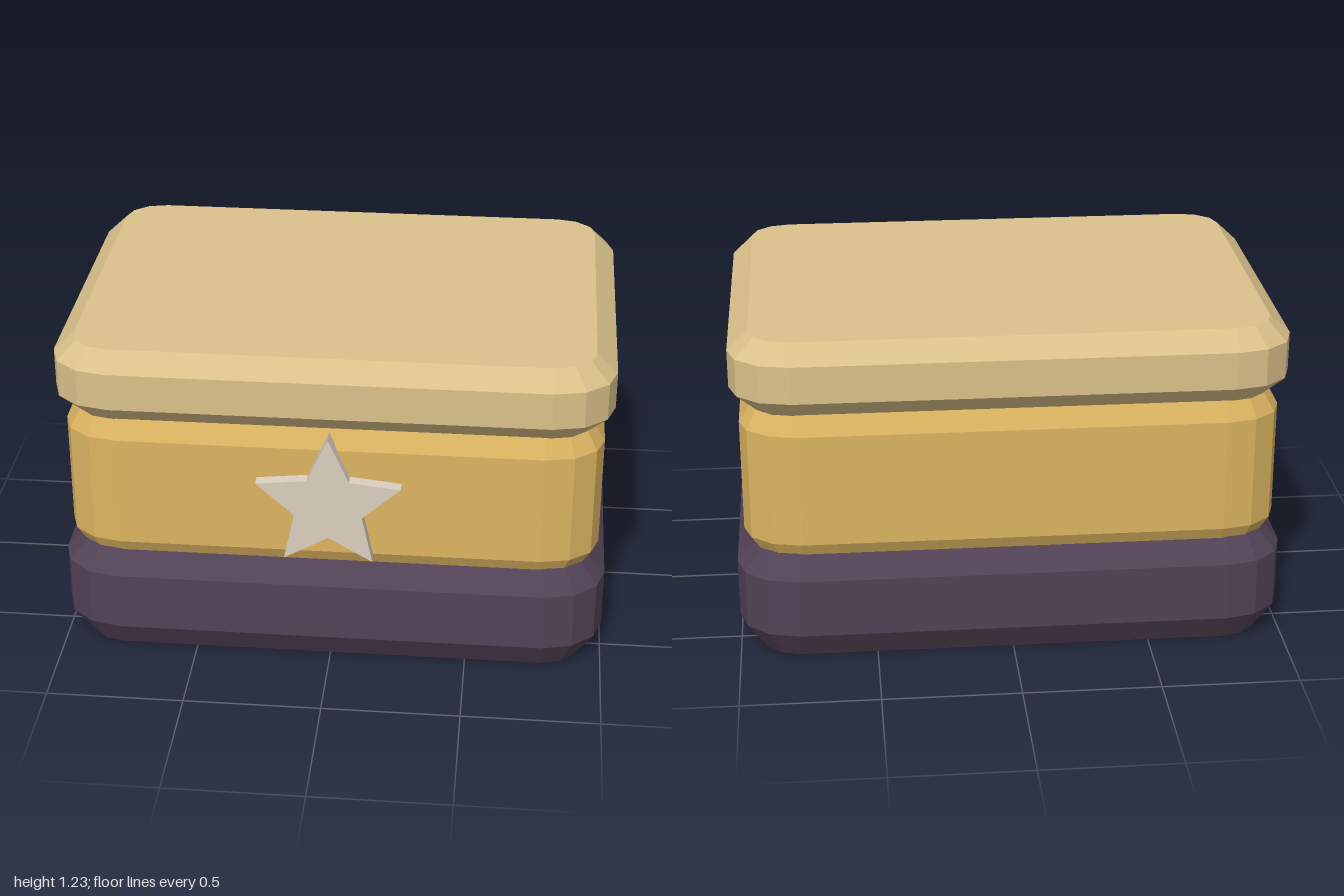
import * as THREE from 'three';

const flat = (name, color) => {
  const m = new THREE.MeshStandardMaterial({ color, flatShading: true });
  m.name = name;
  return m;
};

// Rounded rectangle: half width hx, half depth hz, straight edges ending at cx, cz
function loop(y, hx, hz, cx, cz) {
  const points = [];
  const signs = [[1, 1], [-1, 1], [-1, -1], [1, -1]];
  signs.forEach(([sx, sz], q) => {
    for (let k = 0; k <= 3; k++) {
      const a = (q + k / 3) * Math.PI / 2;
      points.push([sx * cx + (hx - cx) * Math.cos(a), y, sz * cz + (hz - cz) * Math.sin(a)]);
    }
  });
  return points;
}

// Closed solid lofted through [y, halfWidth, halfDepth] sections, bottom to top
function loft(name, sections, cx, cz, material) {
  const loops = sections.map(([y, hx, hz]) => loop(y, hx, hz, cx, cz));
  const n = loops[0].length;
  const pos = [];
  const tri = (a, b, c) => pos.push(...a, ...b, ...c);
  for (let j = 0; j < n; j++) {
    const k = (j + 1) % n;
    for (let i = 0; i < loops.length - 1; i++) {
      tri(loops[i][j], loops[i + 1][j], loops[i + 1][k]);
      tri(loops[i][j], loops[i + 1][k], loops[i][k]);
    }
    const low = loops[0], high = loops[loops.length - 1];
    tri([0, low[0][1], 0], low[j], low[k]);
    tri([0, high[0][1], 0], high[k], high[j]);
  }
  const geometry = new THREE.BufferGeometry();
  geometry.setAttribute('position', new THREE.Float32BufferAttribute(pos, 3));
  geometry.computeVertexNormals();
  const mesh = new THREE.Mesh(geometry, material);
  mesh.name = name;
  mesh.position.z = -0.005;
  return mesh;
}

export function createModel() {
  const group = new THREE.Group();
  group.name = 'box';

  // Dark bevelled base
  group.add(loft('base', [
    [0, 0.92, 0.65], [0.11, 1, 0.715], [0.33, 1, 0.715], [0.42, 0.92, 0.65],
  ], 0.78, 0.52, flat('dark plum', 0x524257)));

  // Golden middle
  group.add(loft('body', [
    [0.41, 0.935, 0.655], [0.46, 0.97, 0.68], [0.88, 0.97, 0.68], [0.955, 0.925, 0.645],
  ], 0.76, 0.515, flat('gold', 0xddb561)));

  // Tan lid
  group.add(loft('lid', [
    [0.95, 0.92, 0.645], [1.017, 1, 0.705], [1.155, 1, 0.705], [1.225, 0.925, 0.645],
  ], 0.78, 0.52, flat('tan', 0xdbc28b)));

  // Five-pointed star on the front
  const star = new THREE.Shape();
  for (let i = 0; i < 10; i++) {
    const r = i % 2 ? 0.128 : 0.272;
    const a = Math.PI / 2 + i * Math.PI / 5;
    star[i ? 'lineTo' : 'moveTo'](r * Math.cos(a), r * Math.sin(a));
  }
  star.closePath();
  const clasp = new THREE.Mesh(
    new THREE.ExtrudeGeometry(star, { depth: 0.06, bevelEnabled: false }),
    flat('pale stone', 0xdbd0c0));
  clasp.name = 'starClasp';
  clasp.position.set(0, 0.674, 0.66);
  group.add(clasp);

  return group;
}
